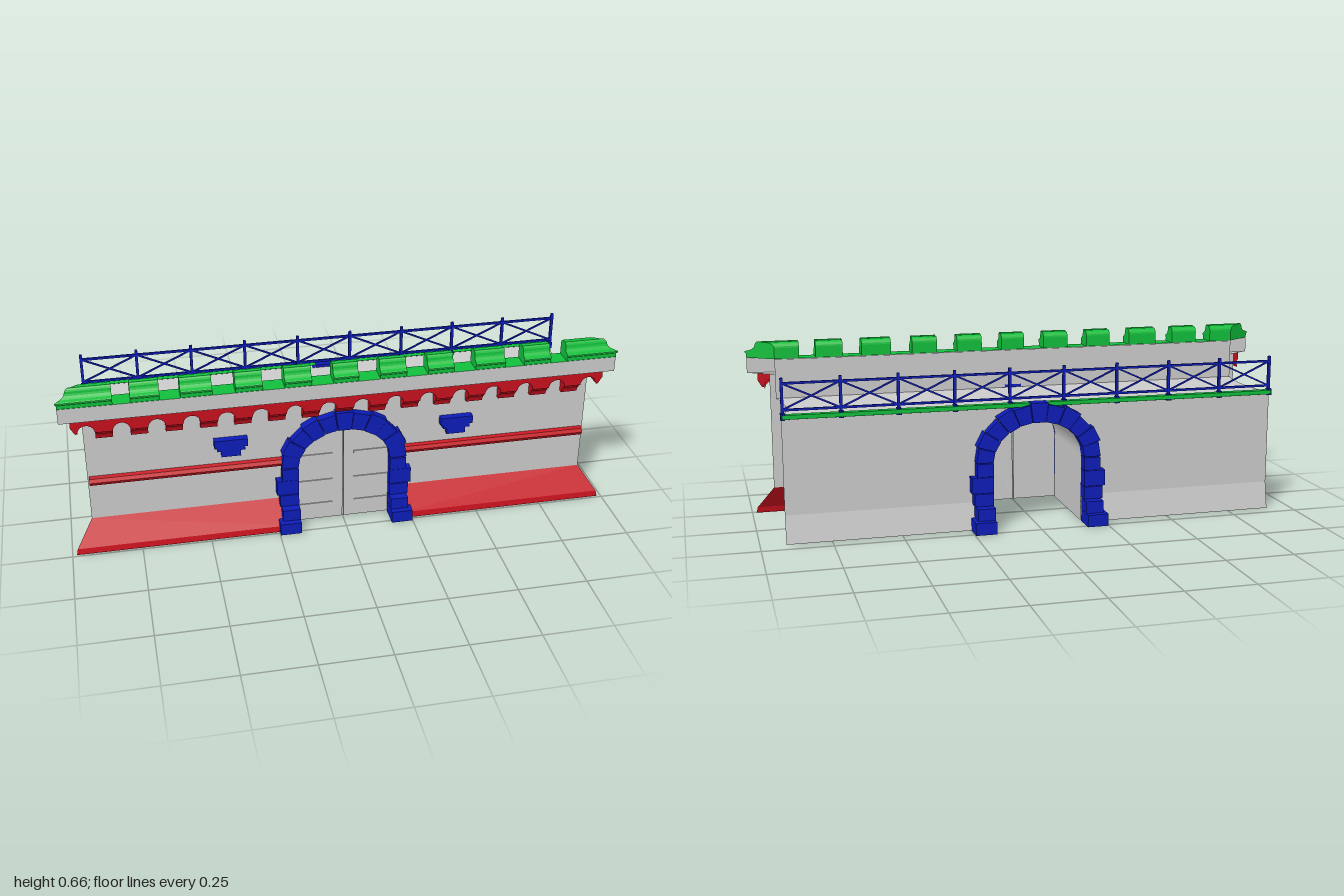
import * as THREE from 'three';

const paint = (color) => new THREE.MeshStandardMaterial({ color, side: THREE.DoubleSide, flatShading: true });
const GREY = paint(0xcccccc), RED = paint(0xc8101e), BLUE = paint(0x0d1cb8), GREEN = paint(0x10bf3c);

const SPRING = 0.25; // height where the arch starts to curve
const WALL_X = 0.92, FRONT_Z = 0.18, BACK_Z = -0.175;

export function createModel() {
  const root = new THREE.Group();
  root.name = 'gatehouseWall';

  const add = (name, geometry, material, parent = root) => {
    const mesh = new THREE.Mesh(geometry, material);
    mesh.name = name;
    parent.add(mesh);
    return mesh;
  };
  const group = (name) => {
    const g = new THREE.Group();
    g.name = name;
    root.add(g);
    return g;
  };
  // box given by its limits
  const box = (name, x0, x1, y0, y1, z0, z1, material, parent) => {
    const m = add(name, new THREE.BoxGeometry(x1 - x0, y1 - y0, z1 - z0), material, parent);
    m.position.set((x0 + x1) / 2, (y0 + y1) / 2, (z0 + z1) / 2);
    return m;
  };
  // open moulding along x: profile points are [z, y, outer x], from inner x to outer x
  const strip = (profile, inner, side = 1) => {
    const pos = [], index = [];
    profile.forEach(([z, y, outer], i) => {
      pos.push(inner === null ? -outer : inner * side, y, z, outer * side, y, z);
      const a = i * 2;
      if (i) index.push(a - 2, a, a - 1, a - 1, a, a + 1);
    });
    const g = new THREE.BufferGeometry();
    g.setAttribute('position', new THREE.Float32BufferAttribute(pos, 3));
    g.setIndex(index);
    const flat = g.toNonIndexed();
    flat.computeVertexNormals();
    return flat;
  };
  // solid moulding: a [z, y] shape extruded from x0 to x1
  const solid = (shape, x0, x1) => {
    const g = new THREE.ExtrudeGeometry(shape, { depth: x1 - x0, bevelEnabled: false, curveSegments: 5 });
    return g.rotateY(-Math.PI / 2).translate(x1, 0, 0);
  };
  const archPoint = (a, b, t) => [a * Math.cos(t), SPRING + b * Math.sin(t)];
  // wall sheet with an arched opening
  const archedWall = (halfWidth, y0, y1, a, b) => {
    const s = new THREE.Shape();
    s.moveTo(a, y0).lineTo(halfWidth, y0).lineTo(halfWidth, y1);
    s.lineTo(-halfWidth, y1).lineTo(-halfWidth, y0).lineTo(-a, y0).lineTo(-a, SPRING);
    for (let i = 1; i <= 20; i++) s.lineTo(...archPoint(a, b, Math.PI * (1 - i / 20)));
    s.lineTo(a, y0);
    return new THREE.ShapeGeometry(s);
  };

  // Wall faces
  add('frontWall', archedWall(WALL_X, 0.11, 0.54, 0.2, 0.17), GREY).position.z = FRONT_Z;
  add('backWall', archedWall(0.91, 0.1, 0.45, 0.2, 0.17), GREY).position.z = BACK_Z;
  for (const side of [1, -1]) {
    add('backBatter', strip([[BACK_Z, 0.1, 0.91], [-0.195, 0, 0.91]], 0.2, side), GREY);
    add('frontPlinth', strip([[FRONT_Z, 0.11, 0.92], [0.238, 0.022, 0.98], [0.242, 0, 0.985]], 0.21, side), RED);
    add('stringCourse', strip([[0.18, 0.285, 0.915], [0.193, 0.28, 0.915], [0.2, 0.267, 0.915],
      [0.193, 0.254, 0.915], [0.18, 0.248, 0.915]], 0.22, side), RED);
  }

  // Walkway with hollowed ends
  const deck = [];
  for (let i = 0; i <= 10; i++) {
    const t = i / 10;
    deck.push([-0.19 + 0.36 * t, 0.45, 0.91 - 0.01 * t - 0.1 * t * (1 - t)]);
  }
  add('walkway', strip(deck, null), GREY);

  // Passage: two sides and the vault
  const tunnelShape = [[0.17, 0]];
  for (let i = 0; i <= 24; i++) tunnelShape.push(archPoint(0.17, 0.14, Math.PI * i / 24));
  tunnelShape.push([-0.17, 0]);
  const tPos = [], tIndex = [];
  tunnelShape.forEach(([x, y], i) => {
    tPos.push(x, y, 0.175, x, y, -0.17);
    const a = i * 2;
    if (i) tIndex.push(a - 2, a, a - 1, a - 1, a, a + 1);
  });
  const tunnel = new THREE.BufferGeometry();
  tunnel.setAttribute('position', new THREE.Float32BufferAttribute(tPos, 3));
  tunnel.setIndex(tIndex);
  tunnel.computeVertexNormals();
  const vault = GREY.clone();
  vault.flatShading = false;
  add('passage', tunnel, vault);

  // Double door with strap hinges
  const doors = group('doors');
  const leaf = new THREE.Shape();
  leaf.moveTo(0.002, 0.003).lineTo(0.172, 0.003);
  for (let i = 0; i <= 10; i++) leaf.lineTo(...archPoint(0.172, 0.142, Math.PI / 2 * i / 10 * 0.993));
  for (const side of [1, -1]) {
    const d = add('doorLeaf', new THREE.ExtrudeGeometry(leaf, { depth: 0.008, bevelEnabled: false }), GREY, doors);
    if (side < 0) d.rotation.y = Math.PI;
    d.position.z = side < 0 ? 0.183 : 0.175;
    for (const y of [0.06, 0.16, 0.27]) {
      const [x0, x1] = side > 0 ? [0.04, 0.165] : [-0.165, -0.04];
      box('strapHinge', x0, x1, y, y + 0.012, 0.183, 0.187, GREY, doors);
    }
  }

  // Stone arch surrounds, front and back
  const courses = [[0, 0.045, 0.248, 0.265, 0.18], [0.046, 0.09, 0.235, 0.244, 0.18], [0.092, 0.138, 0.24, 0.215, 0.17],
    [0.14, 0.198, 0.25, 0.213, 0.17], [0.2, 0.248, 0.23, 0.215, 0.17]];
  const STONES = 11;
  for (const [name, turn] of [['frontArch', 0], ['backArch', Math.PI]]) {
    const arch = group(name);
    arch.rotation.y = turn;
    for (const [y0, y1, outer, z1, z0] of courses) {
      box('jambStone', 0.17, outer, y0, y1, z0, z1, BLUE, arch);
      box('jambStone', -outer, -0.17, y0, y1, z0, z1, BLUE, arch);
    }
    for (let i = 0; i < STONES; i++) {
      const grow = i % 2 ? 0.008 : 0;
      const t0 = Math.PI * (i + 0.02) / STONES, t1 = Math.PI * (i + 0.98) / STONES;
      const s = new THREE.Shape();
      s.moveTo(...archPoint(0.17, 0.14, t0)).lineTo(...archPoint(0.232 + grow, 0.205 + grow, t0));
      s.lineTo(...archPoint(0.232 + grow, 0.205 + grow, t1)).lineTo(...archPoint(0.17, 0.14, t1));
      const stone = new THREE.ExtrudeGeometry(s, { depth: i % 2 ? 0.045 : 0.042, bevelEnabled: false });
      add('archStone', stone, BLUE, arch).position.z = 0.17;
    }
  }

  // Stepped wall brackets
  for (const x of [-0.41, 0.42]) {
    box('bracketTop', x - 0.06, x + 0.06, 0.36, 0.39, 0.178, 0.207, BLUE);
    box('bracketMiddle', x - 0.05, x + 0.05, 0.345, 0.36, 0.178, 0.204, BLUE);
    box('bracketFoot', x - 0.035, x + 0.035, 0.32, 0.345, 0.178, 0.2, BLUE);
  }

  // Corbel table: arcade sheet, small vaults and corbels
  const corbels = group('corbelTable');
  const STEP = 0.121, R = 0.03;
  const arcade = new THREE.Shape();
  arcade.moveTo(-0.96, 0.538).lineTo(-0.96, 0.51).lineTo(-0.945, 0.485);
  for (let i = 0; i < 16; i++) {
    const x = (i - 7.5) * STEP;
    arcade.lineTo(x - R, 0.485);
    arcade.absarc(x, 0.485, R, Math.PI, 0, true);
    const soffit = new THREE.CylinderGeometry(R, R, 0.045, 10, 1, true, Math.PI / 2, Math.PI);
    const m = add('smallVault', soffit.rotateX(Math.PI / 2), RED, corbels);
    m.position.set(x, 0.485, 0.2025);
  }
  arcade.lineTo(0.945, 0.485).lineTo(0.96, 0.51).lineTo(0.96, 0.538);
  add('arcade', new THREE.ShapeGeometry(arcade, 10), RED, corbels).position.z = 0.225;
  const corbel = new THREE.Shape();
  corbel.moveTo(0.18, 0.447).lineTo(0.197, 0.447).quadraticCurveTo(0.2, 0.466, 0.212, 0.472);
  corbel.quadraticCurveTo(0.214, 0.482, 0.225, 0.485).lineTo(0.225, 0.488).lineTo(0.18, 0.488);
  for (let i = -7; i <= 7; i++) add('corbel', solid(corbel, i * STEP - 0.03, i * STEP + 0.03), RED, corbels);

  // Parapet with mitred ends
  const mitre = (z) => 0.9 + (z - 0.17) * 1.43;
  const miter = ([z, y]) => [z, y, mitre(z)];
  add('parapet', strip([[0.18, 0.54], [0.238, 0.538], [0.238, 0.595]].map(miter), null), GREY);
  add('parapetBack', strip([[0.17, 0.595], [0.17, 0.45]].map(miter), null), GREY);
  add('crenelFloor', strip([[0.17, 0.596], [0.24, 0.596]].map(miter), null), GREEN);

  // Merlons with a rolled and hollowed front
  const merlon = new THREE.Shape();
  merlon.moveTo(0.17, 0.596).lineTo(0.238, 0.596).lineTo(0.238, 0.61);
  merlon.quadraticCurveTo(0.247, 0.618, 0.236, 0.622).quadraticCurveTo(0.217, 0.627, 0.216, 0.648);
  merlon.quadraticCurveTo(0.21, 0.664, 0.202, 0.656).lineTo(0.188, 0.656).quadraticCurveTo(0.171, 0.654, 0.17, 0.636);
  const spans = [[-0.045, 0.045], [0.122, 0.218], [0.295, 0.39], [0.47, 0.58], [0.65, 0.75], [0.81, 1]];
  const merlons = group('merlons');
  spans.forEach(([x0, x1], i) => {
    for (const side of i ? [1, -1] : [1]) {
      const g = side > 0 ? solid(merlon, x0, x1) : solid(merlon, -x1, -x0);
      const p = g.attributes.position;
      for (let v = 0; v < p.count; v++) {
        if (Math.abs(p.getX(v)) > 0.99) p.setX(v, side * mitre(p.getZ(v)));
      }
      g.computeVertexNormals();
      add('merlon', g, GREEN, merlons);
    }
  });

  // Railing along the back edge
  const railing = group('railing');
  const RZ = -0.177, PANELS = 9, W = 1.81 / PANELS, LOW = 0.475, HIGH = 0.568;
  add('edgeBand', strip([[-0.172, 0.46, 0.908], [-0.198, 0.46, 0.908], [-0.198, 0.445, 0.908], [-0.175, 0.44, 0.908]], null), GREEN, railing);
  box('topRail', -0.905, 0.905, HIGH - 0.004, HIGH + 0.004, RZ - 0.004, RZ + 0.004, BLUE, railing);
  box('bottomRail', -0.905, 0.905, LOW - 0.004, LOW + 0.004, RZ - 0.004, RZ + 0.004, BLUE, railing);
  for (let i = 0; i <= PANELS; i++) {
    const x = -0.905 + i * W;
    box('post', x - 0.005, x + 0.005, 0.44, 0.587, RZ - 0.005, RZ + 0.005, BLUE, railing);
    box('postFoot', x - 0.008, x + 0.008, 0.44, 0.464, -0.192, -0.17, BLUE, railing);
    if (i === PANELS) break;
    for (const side of [1, -1]) {
      const brace = add('crossBrace', new THREE.BoxGeometry(Math.hypot(W, HIGH - LOW), 0.006, 0.005), BLUE, railing);
      brace.position.set(x + W / 2, (HIGH + LOW) / 2, RZ);
      brace.rotation.z = side * Math.atan2(HIGH - LOW, W);
    }
  }
  return root;
}
